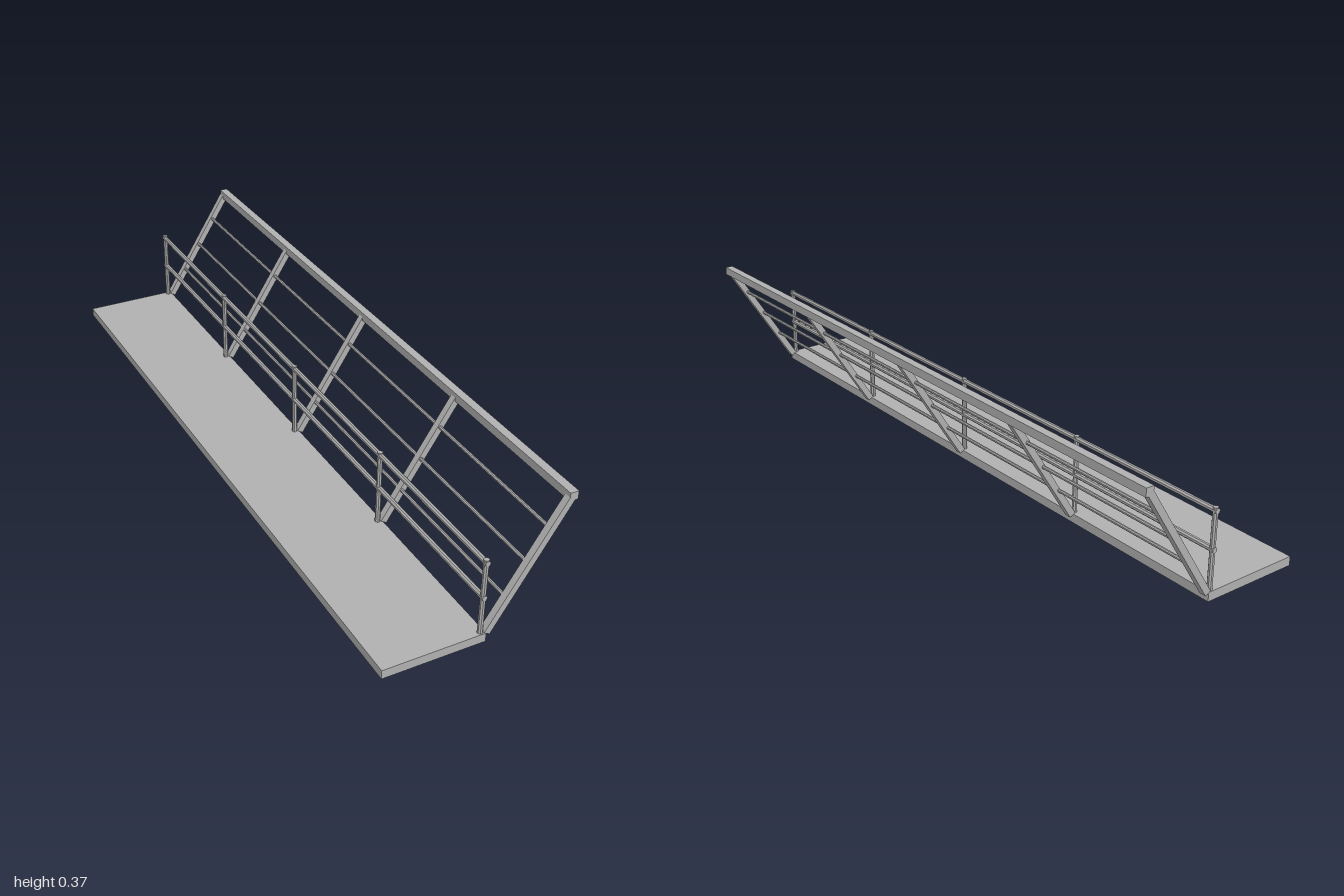
import * as THREE from 'three';

export function createModel() {
  const model = new THREE.Group();
  model.name = 'walkwayWithRailings';
  const grey = new THREE.MeshStandardMaterial({ color: 0xb0b0b0, flatShading: true });
  grey.name = 'steelGrey';

  const add = (name, geometry, x, y, z) => {
    const mesh = new THREE.Mesh(geometry, grey);
    mesh.name = name;
    mesh.position.set(x, y, z);
    model.add(mesh);
    return mesh;
  };
  // Eight-sided bar, upright, with its flats facing the axes
  const bar = (radius, length) =>
    new THREE.CylinderGeometry(radius, radius, length, 8).rotateY(Math.PI / 8);
  const longBar = (radius, length) => bar(radius, length).rotateX(Math.PI / 2);

  // Floor slab
  add('floorSlab', new THREE.BoxGeometry(0.29, 0.026, 2), -0.115, 0.013, 0);

  // Slanted outer posts and upright inner posts
  const foot = new THREE.Vector2(0.032, 0.024);
  const head = new THREE.Vector2(0.246, 0.362);
  const run = head.clone().sub(foot);
  const middle = foot.clone().add(head).multiplyScalar(0.5);
  for (let i = -2; i <= 2; i++) {
    const z = i * 0.495;
    const post = add('slantedPost', new THREE.BoxGeometry(0.019, run.length(), 0.02), middle.x, middle.y, z);
    post.rotation.z = -Math.atan2(run.x, run.y);
    add('uprightPost', bar(0.0075, 0.225), 0.018, 0.1365, z);
  }

  // Outer top rail and thin infill rods between the slanted posts
  add('outerTopRail', new THREE.BoxGeometry(0.024, 0.024, 2), 0.246, 0.362, 0);
  for (const [x, y] of [[0.083, 0.113], [0.138, 0.197], [0.193, 0.281]]) {
    add('infillRod', longBar(0.0052, 1.98), x, y, 0);
  }

  // Inner hand rail and middle rail
  for (const [name, y] of [['innerHandRail', 0.24], ['innerMiddleRail', 0.136]]) {
    add(name, longBar(0.0078, 1.996), 0.018, y, 0);
  }
  return model;
}
